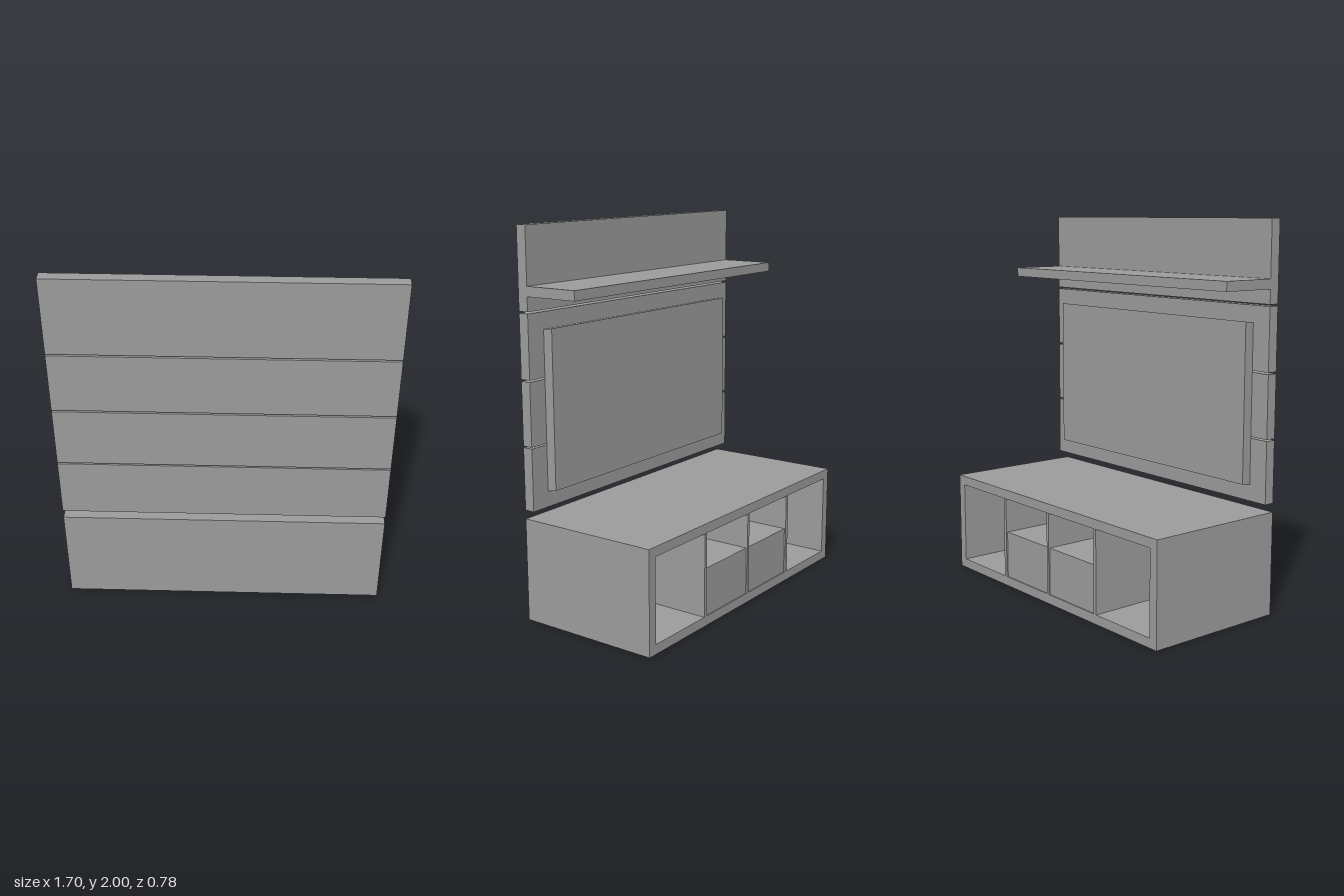
import * as THREE from 'three';

export function createModel() {
  const model = new THREE.Group();
  const material = new THREE.MeshStandardMaterial({ color: 0x9b9b9b, flatShading: true });

  // Box given by its lower and upper corners
  function box(name, [x0, y0, z0], [x1, y1, z1], parent = model) {
    const geometry = new THREE.BoxGeometry(x1 - x0, y1 - y0, z1 - z0);
    geometry.translate((x0 + x1) / 2, (y0 + y1) / 2, (z0 + z1) / 2);
    const mesh = new THREE.Mesh(geometry, material);
    mesh.name = name;
    parent.add(mesh);
    return mesh;
  }

  const W = 0.85, H = 0.54, T = 0.05, D = 0.388, WALL = 0.334;

  // Low cabinet, open towards -z
  const cabinet = new THREE.Group();
  cabinet.name = 'cabinet';
  model.add(cabinet);
  box('cabinetBottom', [-W, 0, -D], [W, T, 0.39], cabinet);
  box('cabinetTop', [-W, H - T, -D], [W, H, 0.39], cabinet);
  box('cabinetBack', [-W + T, T, 0.34], [W - T, H - T, 0.39], cabinet);
  for (const [name, s] of [['leftSide', 1], ['rightSide', -1]]) {
    const x = s * (W - T / 2);
    box(name, [x - T / 2, T, -D], [x + T / 2, H - T, 0.39], cabinet);
  }

  // Outer dividers and the thinner middle one
  for (const [x, t] of [[-0.39, 0.02], [0, 0.016], [0.39, 0.02]]) {
    box('divider', [x - t / 2, T, -0.39], [x + t / 2, H - T, 0.34], cabinet);
  }

  // Two drawers, set back a little, filling the lower part of the middle bays
  for (const s of [-1, 1]) {
    const a = s * 0.008, b = s * 0.38;
    box('drawer', [Math.min(a, b), T, -0.382], [Math.max(a, b), 0.303, 0.34], cabinet);
  }

  // Wall boards with narrow gaps between them
  for (const [y0, y1] of [[0.586, 0.909], [0.917, 1.243], [1.252, 1.577], [1.586, 2]]) {
    box('wallBoard', [-W, y0, WALL], [W, y1, 0.39]);
  }

  // Shelf above the screen
  box('shelf', [-W, 1.66, 0.035], [W, 1.71, WALL]);

  // Flat screen, its edges leaning slightly upwards to the viewer
  const screen = box('screen', [-0.742, 0.67, 0.281], [0.742, 1.49, WALL]);
  const p = screen.geometry.attributes.position;
  for (let i = 0; i < p.count; i++) p.setY(i, p.getY(i) + (WALL - p.getZ(i)) * 0.15);
  screen.geometry.computeVertexNormals();

  return model;
}
